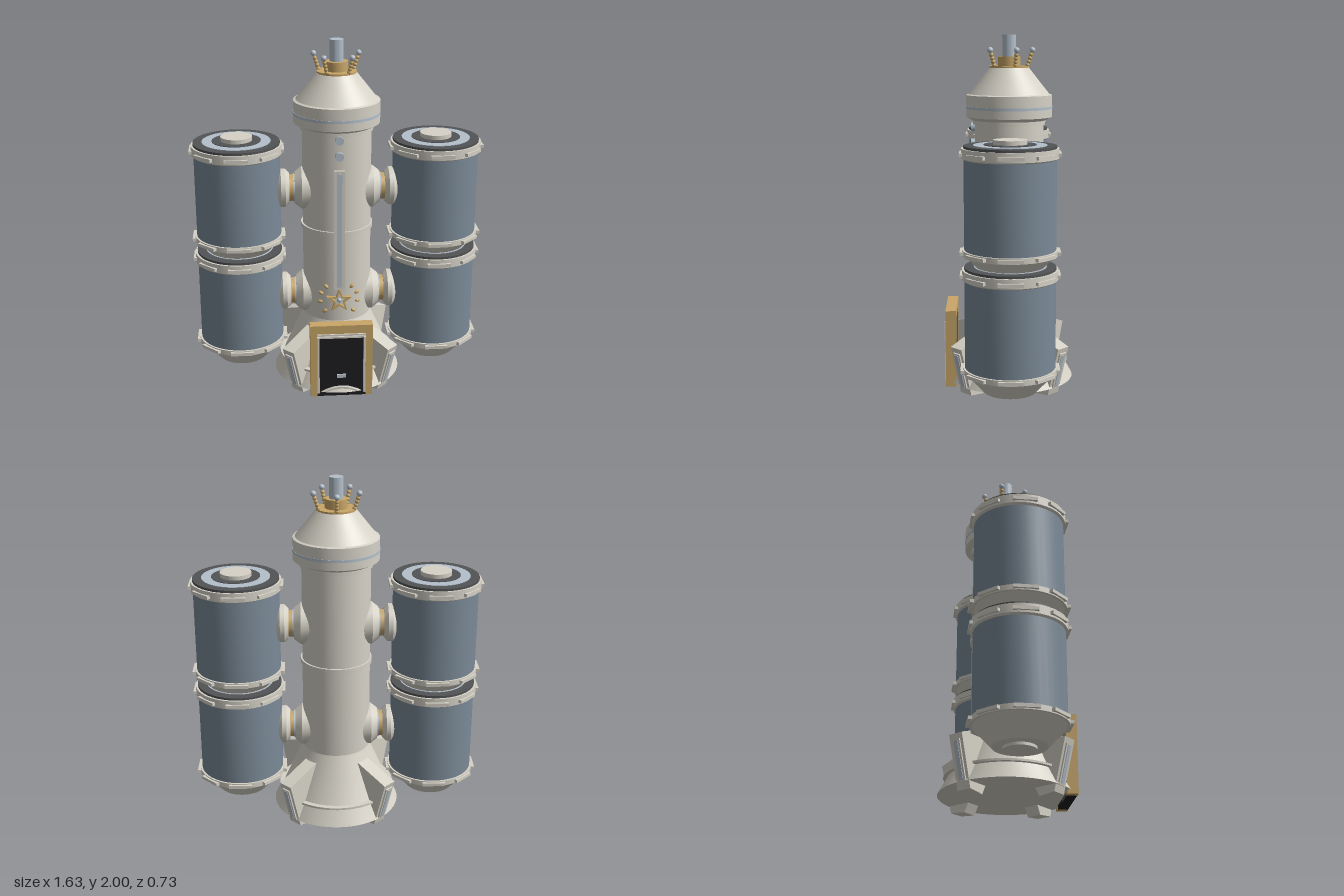
import * as THREE from 'three';
import { toCreasedNormals } from 'three/addons/utils/BufferGeometryUtils.js';

const mat = (color, extra = {}) => new THREE.MeshStandardMaterial({ color, ...extra });
const cream = mat(0xd6d2c7), steel = mat(0x7b8a97), ice = mat(0xb4c0cc);
const gold = mat(0xc9a768), dark = mat(0x515355), black = mat(0x1d1d20);

function add(parent, name, geometry, material, x = 0, y = 0, z = 0) {
  const m = new THREE.Mesh(geometry, material);
  m.name = name;
  m.position.set(x, y, z);
  parent.add(m);
  return m;
}
const box = (w, h, d) => new THREE.BoxGeometry(w, h, d);
// Turned part from [radius, y] pairs, bottom to top, with crisp edges
const turned = (pts, seg = 40) => toCreasedNormals(
  new THREE.LatheGeometry(pts.map(([r, y]) => new THREE.Vector2(r, y)), seg), 0.45);
const disc = (r, y0, y1, seg) => turned([[0, y0], [r, y0], [r, y1], [0, y1]], seg);
const shapeOf = (pts) => new THREE.Shape(pts.map(([x, y]) => new THREE.Vector2(x, y)));
const extrude = (shape, depth) =>
  new THREE.ExtrudeGeometry(shape, { depth, bevelEnabled: false, curveSegments: 16 });

function star(outer, inner) {
  return Array.from({ length: 10 }, (_, i) => {
    const r = i % 2 ? inner : outer, a = Math.PI / 2 + i * Math.PI / 5;
    return [r * Math.cos(a), r * Math.sin(a)];
  });
}

// One storage drum; its bottom knob starts at y = 0.125
function makeTank() {
  const g = new THREE.Group();
  g.name = 'tank';
  add(g, 'tankBottom', turned([[0, 0.125], [0.085, 0.125], [0.085, 0.14], [0.14, 0.14], [0.235, 0.245]]), cream);
  add(g, 'tankBody', turned([[0.239, 0.26], [0.239, 0.76]]), steel);
  add(g, 'lowerBand', turned([[0.2, 0.245], [0.25, 0.245], [0.25, 0.275], [0.235, 0.275]]), cream);
  add(g, 'upperBand', turned([[0.235, 0.74], [0.252, 0.75], [0.252, 0.8], [0.2, 0.8]]), cream);
  add(g, 'lidRim', disc(0.24, 0.795, 0.813), dark);
  add(g, 'lidRing', disc(0.19, 0.8, 0.816), ice);
  add(g, 'lidCentre', disc(0.135, 0.8, 0.819), dark);
  add(g, 'lidKnob', disc(0.087, 0.8, 0.842), cream);
  // Clips around both bands
  for (let i = 0; i < 8; i++) {
    const a = i * Math.PI / 4;
    for (const y of [0.26, 0.77]) {
      const clip = add(g, 'bandClip', box(0.13, 0.018, 0.022), cream, 0.25 * Math.sin(a), y, 0.25 * Math.cos(a));
      clip.rotation.y = a;
    }
  }
  return g;
}

// Coupling along +x from the core to a drum
function makeCoupling() {
  const g = new THREE.Group();
  g.name = 'coupling';
  add(g, 'coreFlange', turned([[0, 0.14], [0.12, 0.14], [0.12, 0.2], [0.09, 0.238], [0, 0.238]], 24), cream);
  add(g, 'couplingSleeve', disc(0.075, 0.23, 0.275, 24), gold);
  add(g, 'couplingRing', disc(0.08, 0.238, 0.246, 24), ice);
  add(g, 'tankFlange', turned([[0, 0.268], [0.085, 0.268], [0.108, 0.29], [0.108, 0.315], [0.085, 0.34], [0, 0.34]], 24), cream);
  g.rotation.z = -Math.PI / 2;
  return g;
}

// Buttress leg with a slot light on its sloping outer face
function makeLeg() {
  const g = new THREE.Group();
  g.name = 'leg';
  const profile = shapeOf([[0.25, 0], [0.345, 0.01], [0.42, 0.29], [0.2, 0.37], [0.2, 0.1]]);
  add(g, 'legFin', extrude(profile, 0.085), cream, 0, 0, -0.0425);
  const slot = new THREE.Group();
  slot.position.set(0.383, 0.155, 0);
  slot.rotation.z = -Math.atan2(0.075, 0.28);
  add(slot, 'slotFrame', box(0.018, 0.22, 0.05), cream);
  add(slot, 'slotLight', box(0.024, 0.2, 0.026), ice);
  g.add(slot);
  return g;
}

function makeDoor() {
  const g = new THREE.Group();
  g.name = 'door';
  const frame = shapeOf([[-0.175, 0.03], [-0.137, 0.03], [-0.137, 0.42], [0.137, 0.42],
    [0.137, 0.03], [0.175, 0.03], [0.175, 0.47], [-0.175, 0.47]]);
  add(g, 'doorFrame', extrude(frame, 0.06), gold, 0, 0, 0.3);
  add(g, 'doorBack', box(0.28, 0.39, 0.025), dark, 0, 0.225, 0.315);
  add(g, 'doorPanel', box(0.25, 0.36, 0.02), black, 0, 0.21, 0.335);
  add(g, 'doorSill', box(0.274, 0.02, 0.055), black, 0, 0.04, 0.33);
  // Inner trim and stepped lintel
  for (const s of [-1, 1]) add(g, 'doorTrim', box(0.012, 0.35, 0.05), cream, s * 0.13, 0.225, 0.342);
  [0.412, 0.395].forEach((y, i) =>
    add(g, 'lintelStep', box(0.272 - i * 0.02, 0.01, 0.045 - i * 0.01), cream, 0, y, 0.34));
  add(g, 'doorHandle', box(0.05, 0.02, 0.014), ice, 0, 0.15, 0.348);
  const mat2 = new THREE.Shape();
  mat2.moveTo(-0.1, 0.052);
  mat2.lineTo(0.1, 0.052);
  mat2.quadraticCurveTo(0, 0.11, -0.1, 0.052);
  add(g, 'doorStep', extrude(mat2, 0.012), cream, 0, 0, 0.342);
  return g;
}

// Crown, mast and ball-tipped prongs
function makeCrown() {
  const g = new THREE.Group();
  g.name = 'crown';
  add(g, 'crownPlate', disc(0.11, 1.812, 1.83), gold);
  add(g, 'mastCollar', disc(0.062, 1.82, 1.882, 24), gold);
  add(g, 'mast', disc(0.038, 1.82, 2, 24), ice);
  for (let i = 0; i < 5; i++) {
    const prong = new THREE.Group();
    prong.name = 'prong';
    prong.position.y = 1.82;
    prong.rotation.y = Math.PI / 2 + i * Math.PI * 2 / 5;
    const path = new THREE.LineCurve3(new THREE.Vector3(0.098, 0, 0), new THREE.Vector3(0.13, 0.095, 0));
    add(prong, 'prongRod', new THREE.TubeGeometry(path, 1, 0.008, 8), gold);
    for (const t of [0.15, 0.35, 0.55, 0.75]) {
      const p = path.getPoint(t);
      add(prong, 'prongBead', new THREE.SphereGeometry(0.012, 10, 6), gold, p.x, p.y, 0);
    }
    add(prong, 'prongBall', new THREE.SphereGeometry(0.016, 14, 10), ice, 0.13, 0.097, 0);
    g.add(prong);
  }
  return g;
}

export function createModel() {
  const model = new THREE.Group();
  model.name = 'tower';

  // Core column, flared base and domed head
  add(model, 'base', turned([[0, 0.05], [0.365, 0.05], [0.31, 0.15], [0.2, 0.4], [0.193, 0.42]], 48), cream);
  add(model, 'baseRing', turned([[0.3, 0.145], [0.335, 0.145], [0.335, 0.157], [0.3, 0.157]], 48), cream);
  add(model, 'column', turned([[0.193, 0.4], [0.193, 1.55]], 48), cream);
  for (const y of [0.95, 1.52]) add(model, 'columnBand', disc(0.203, y - 0.013, y + 0.013, 48), cream);
  add(model, 'head', turned([[0, 1.53], [0.205, 1.53], [0.24, 1.548], [0.24, 1.67], [0.225, 1.675], [0.11, 1.82], [0, 1.82]], 48), cream);
  add(model, 'headStripe', disc(0.242, 1.593, 1.608, 48), ice);
  model.add(makeCrown());

  // Front strip and round lamps
  add(model, 'stripFrame', box(0.06, 0.7, 0.03), cream, 0, 0.97, 0.195);
  add(model, 'stripLight', box(0.028, 0.67, 0.035), ice, 0, 0.97, 0.196);
  for (const y of [1.4, 1.49]) {
    add(model, 'lamp', disc(0.024, 0, 0.025, 20), ice, 0, y, 0.188).rotation.x = Math.PI / 2;
  }

  // Star emblem with a ring of petals
  const outline = shapeOf(star(0.075, 0.031));
  outline.holes.push(new THREE.Path(star(0.048, 0.02).map(([x, y]) => new THREE.Vector2(x, y))));
  add(model, 'star', extrude(outline, 0.03), gold, 0, 0.55, 0.177);
  add(model, 'starCentre', new THREE.SphereGeometry(0.013, 12, 8), ice, 0, 0.55, 0.195);
  for (const s of [-1, 1]) for (const deg of [48, 20, -10, -42]) {
    const a = deg * Math.PI / 180, x = s * 0.108 * Math.cos(a), y = 0.55 + 0.108 * Math.sin(a);
    const petal = add(model, 'petal', new THREE.SphereGeometry(0.017, 12, 8), gold, x, y, Math.sqrt(0.193 ** 2 - x * x));
    petal.scale.set(1, 0.6, 0.7);
    petal.rotation.set(0, Math.asin(x / 0.193), s * a);
  }

  model.add(makeDoor());
  for (let i = 0; i < 4; i++) {
    const leg = makeLeg();
    leg.rotation.y = Math.PI / 4 + i * Math.PI / 2;
    model.add(leg);
  }

  // Two stacked drums and their couplings on each side
  for (const turn of [0, Math.PI]) {
    const side = new THREE.Group();
    side.name = turn ? 'rightTanks' : 'leftTanks';
    for (const y of [0, 0.63]) {
      const tank = makeTank(), coupling = makeCoupling();
      tank.position.set(0.555, y, 0);
      coupling.position.y = 0.535 + y;
      side.add(tank, coupling);
    }
    side.rotation.y = turn;
    model.add(side);
  }
  return model;
}
